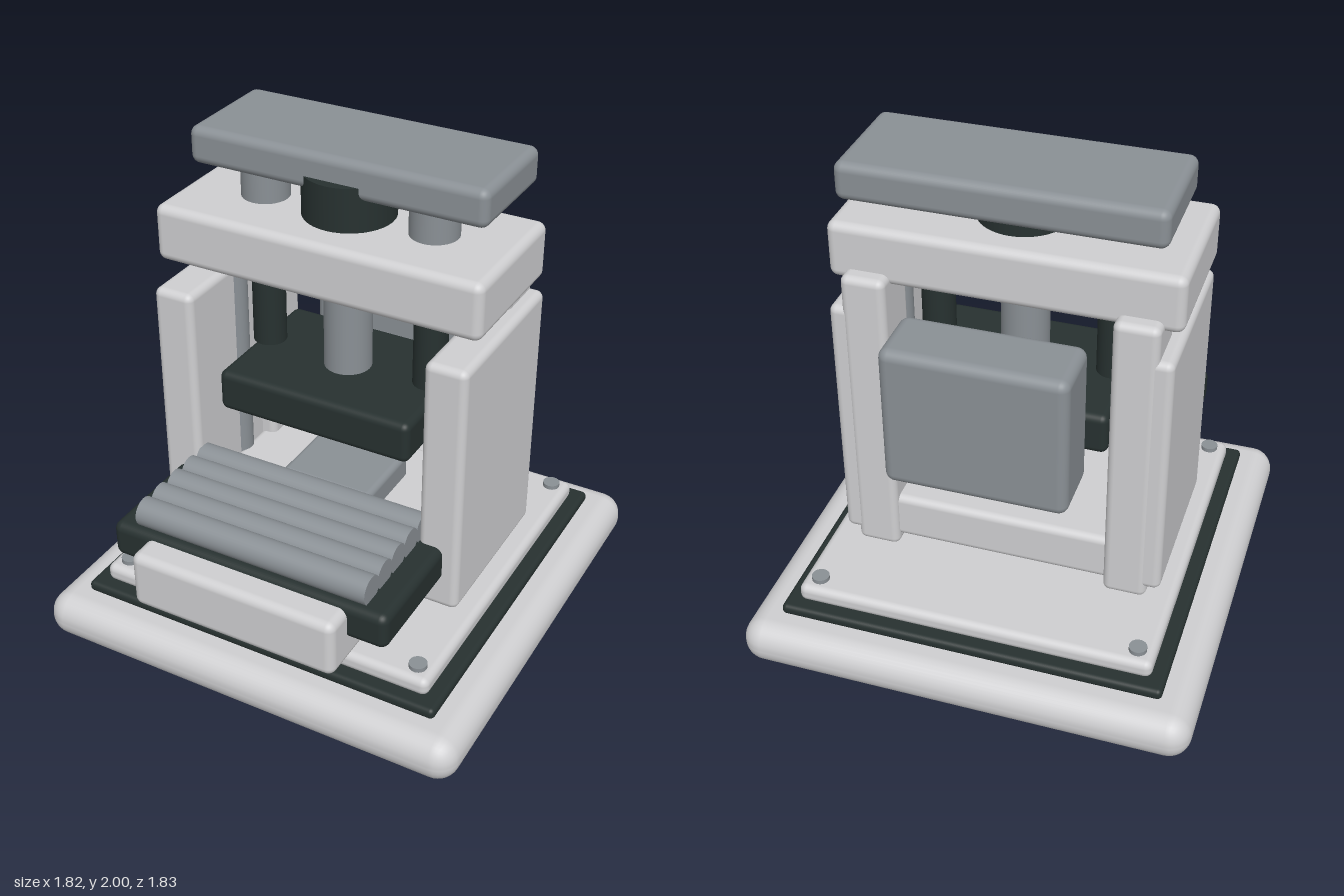
import * as THREE from 'three';
import { RoundedBoxGeometry } from 'three/addons/geometries/RoundedBoxGeometry.js';

export function createModel() {
  const model = new THREE.Group();
  model.name = 'pressMachine';

  const paint = (name, color) => {
    const m = new THREE.MeshStandardMaterial({ color });
    m.name = name;
    return m;
  };
  const light = paint('lightGrey', 0xcfcfd1);
  const steel = paint('steelGrey', 0x8a9095);
  const dark = paint('darkGreen', 0x273130);

  const add = (name, geometry, material) => {
    const mesh = new THREE.Mesh(geometry, material);
    mesh.name = name;
    model.add(mesh);
    return mesh;
  };

  // Rounded block given by its extents on each axis
  const block = (name, material, [x0, x1], [y0, y1], [z0, z1], r = 0.03) => {
    const g = new RoundedBoxGeometry(x1 - x0, y1 - y0, z1 - z0, 4, r);
    g.translate((x0 + x1) / 2, (y0 + y1) / 2, (z0 + z1) / 2);
    return add(name, g, material);
  };

  // Upright cylinder between two heights
  const rod = (name, material, r, x, [y0, y1], z = 0) => {
    const g = new THREE.CylinderGeometry(r, r, y1 - y0, 40);
    g.translate(x, (y0 + y1) / 2, z);
    return add(name, g, material);
  };

  // Base, gasket and deck
  block('base', light, [-0.91, 0.91], [0, 0.19], [-0.91, 0.91], 0.09);
  block('gasket', dark, [-0.775, 0.775], [0.185, 0.232], [-0.775, 0.775], 0.02);
  block('deck', light, [-0.72, 0.72], [0.225, 0.302], [-0.72, 0.72], 0.03);
  for (const x of [-0.65, 0.65])
    for (const z of [-0.65, 0.65]) rod('deckBolt', steel, 0.035, x, [0.29, 0.32], z);

  // Lower bed and the block resting on it
  block('bed', light, [-0.5, 0.5], [0.33, 0.53], [-0.34, 0.35]);
  block('bedBlock', steel, [-0.2, 0.2], [0.5, 0.63], [-0.15, 0.2], 0.025);

  // Mirrored frame parts
  for (const s of [-1, 1]) {
    const span = (a, b) => (s > 0 ? [a, b] : [-b, -a]);
    block('sidePanel', light, span(0.49, 0.66), [0.34, 1.41], [-0.36, 0.35]);
    block('rearUpright', light, span(0.43, 0.605), [0.29, 1.55], [-0.365, -0.13]);
    rod('guideRod', steel, 0.055, s * 0.52, [0.325, 1.52]);
    rod('damper', dark, 0.067, s * 0.355, [1.1, 1.52]);
    rod('beamPost', steel, 0.095, s * 0.355, [1.7, 1.87]);
  }

  // Crown, hub and top beam
  block('crown', light, [-0.675, 0.675], [1.5, 1.73], [-0.3, 0.29], 0.035);
  rod('hub', dark, 0.18, 0, [1.7, 1.905], -0.01);
  block('topBeam', steel, [-0.61, 0.61], [1.85, 2], [-0.34, 0.13], 0.035);

  // Ram and press head
  rod('ram', steel, 0.095, 0, [1.05, 1.52]);
  block('pressHead', dark, [-0.413, 0.413], [0.91, 1.083], [-0.3, 0.3], 0.03);

  // Rear cabinet
  block('rearCabinet', steel, [-0.355, 0.355], [0.86, 1.45], [-0.64, -0.37], 0.04);

  // Front tray with rollers and drawer
  block('tray', dark, [-0.595, 0.595], [0.468, 0.62], [0.25, 0.81], 0.035);
  for (let i = 0; i < 5; i++) {
    const g = new THREE.CylinderGeometry(0.058, 0.058, 0.99, 32);
    g.rotateZ(Math.PI / 2);
    g.translate(0, 0.662, 0.73 - i * 0.104);
    add('roller', g, steel);
  }
  block('drawer', light, [-0.437, 0.437], [0.36, 0.6], [0.41, 0.92], 0.035);

  return model;
}
